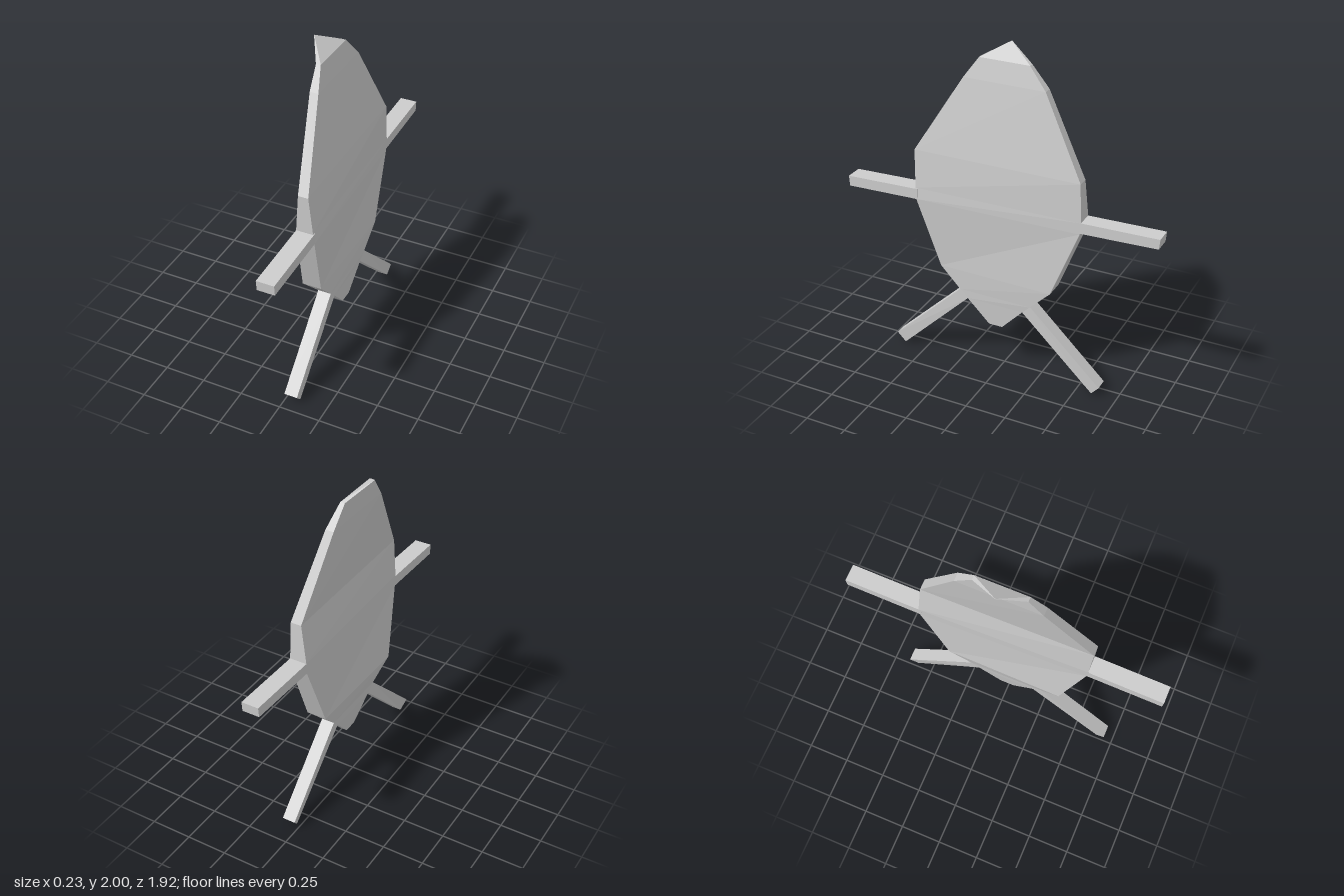
import * as THREE from 'three';

// Joins four-cornered rings into a closed, faceted solid.
// Each ring runs counter-clockwise as seen from the last ring's end.
function loft(rings) {
  const pos = [];
  const quad = (a, b, c, d) => pos.push(...a, ...b, ...c, ...a, ...c, ...d);
  for (let r = 0; r < rings.length - 1; r++) {
    const lo = rings[r], hi = rings[r + 1];
    for (let i = 0; i < 4; i++) {
      const j = (i + 1) % 4;
      quad(lo[i], lo[j], hi[j], hi[i]);
    }
  }
  const first = rings[0], last = rings[rings.length - 1];
  quad(first[3], first[2], first[1], first[0]);
  quad(last[0], last[1], last[2], last[3]);
  const geo = new THREE.BufferGeometry();
  geo.setAttribute('position', new THREE.Float32BufferAttribute(pos, 3));
  geo.computeVertexNormals();
  return geo;
}

// Ring across a limb: upper and lower [y, z] corners and the [min, max] x range of each
function limbRing(upper, lower, xUpper, xLower, flip) {
  const ring = [
    [xUpper[1], ...upper], [xUpper[0], ...upper],
    [xLower[0], ...lower], [xLower[1], ...lower],
  ];
  return flip ? ring.reverse() : ring;
}

export function createModel() {
  const group = new THREE.Group();
  const grey = new THREE.MeshStandardMaterial({ color: 0xcccccc });
  const add = (name, geo) => {
    const mesh = new THREE.Mesh(geo, grey);
    mesh.name = name;
    group.add(mesh);
  };

  // Body, bottom to top: y, front z, back z, front edge min/max x, back edge min/max x
  const rows = [
    [0.295, 0.065, -0.02, 0.03, 0.075, 0.03, 0.075],
    [0.44, 0.20, -0.155, 0.01, 0.085, 0.01, 0.085],
    [0.49, 0.25, -0.205, 0.005, 0.085, 0.005, 0.09],
    [0.62, 0.375, -0.335, -0.03, 0.085, -0.02, 0.10],
    [1.04, 0.51, -0.50, 0.01, 0.115, -0.013, 0.09],
    [1.11, 0.515, -0.505, 0.01, 0.11, -0.013, 0.09],
    [1.34, 0.525, -0.495, 0.03, 0.09, 0.02, 0.085],
    [1.8, 0.245, -0.25, -0.035, 0.015, -0.035, 0.015],
    [1.92, 0.16, -0.145, -0.04, -0.012, -0.04, -0.012],
    [2.0, 0.018, 0.012, -0.12, -0.118, -0.12, -0.118], // curled tip
  ];
  add('body', loft(rows.map(([y, zf, zb, f0, f1, b0, b1]) => [
    [f1, y, zf], [b1, y, zb], [b0, y, zb], [f0, y, zf],
  ])));

  // Arms
  const xFront = [0.01, 0.115], xBack = [-0.013, 0.09];
  add('frontArm', loft([
    limbRing([1.105, 0.50], [1.04, 0.50], xFront, xFront, false),
    limbRing([1.09, 0.965], [1.027, 0.96], xFront, xFront, false),
  ]));
  add('backArm', loft([
    limbRing([1.11, -0.49], [1.045, -0.49], xBack, xBack, true),
    limbRing([1.12, -0.96], [1.06, -0.955], xBack, xBack, true),
  ]));

  // Legs
  const xTop = [0.005, 0.085], xFoot = [0.005, 0.085], xToe = [0.02, 0.08];
  add('frontLeg', loft([
    limbRing([0.49, 0.25], [0.44, 0.20], xTop, [0.01, 0.085], false),
    limbRing([0.058, 0.697], [0, 0.645], xFoot, xToe, false),
  ]));
  add('backLeg', loft([
    limbRing([0.49, -0.205], [0.44, -0.155], xTop, [0.01, 0.085], true),
    limbRing([0.062, -0.647], [0.008, -0.6], xFoot, xToe, true),
  ]));

  return group;
}
